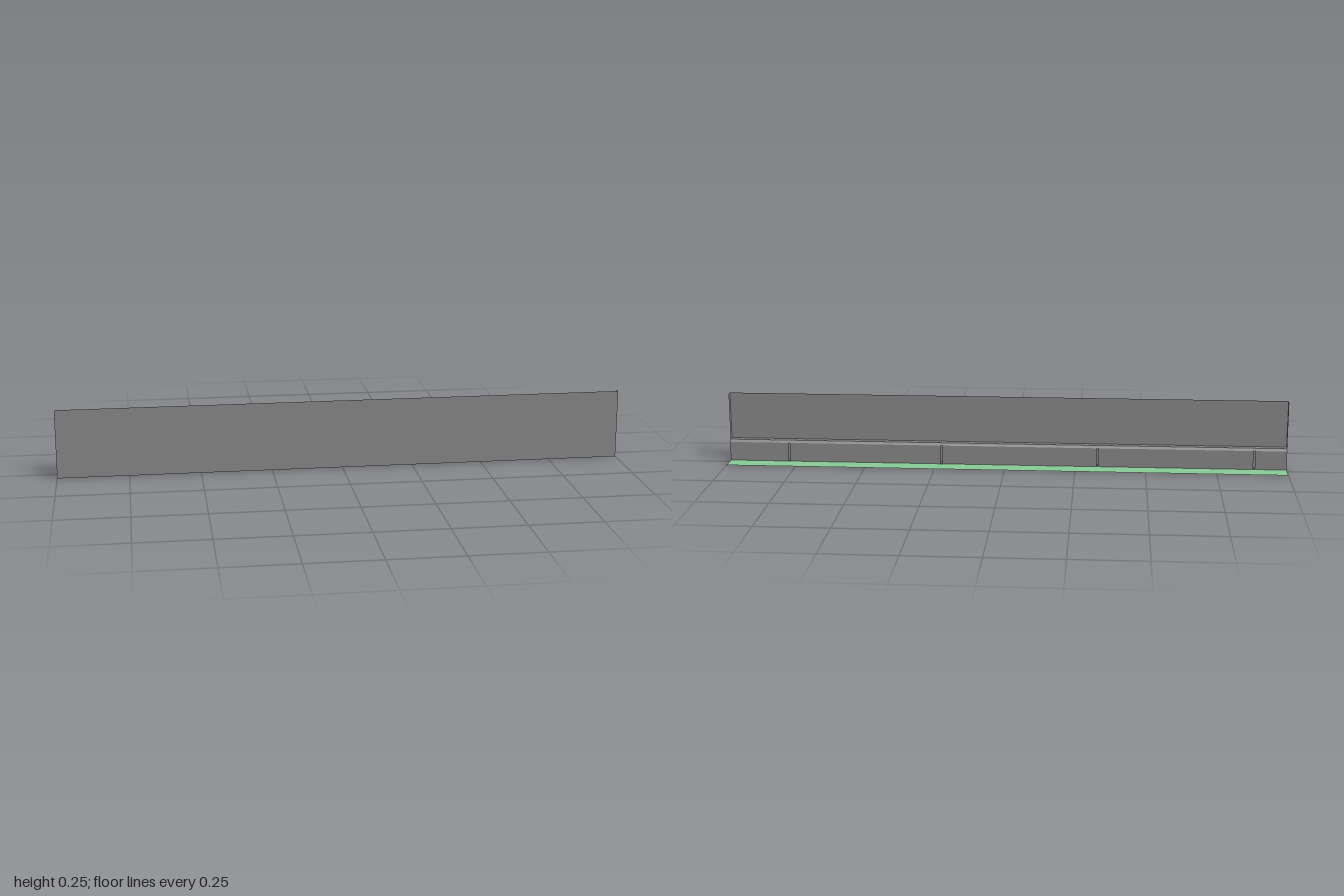
import * as THREE from 'three';

const FRONT = 0.048, INNER = 0.026, DUCT = 0.02, BACK = -0.048, HEIGHT = 0.245;

export function createModel() {
  const model = new THREE.Group();
  const steel = new THREE.MeshStandardMaterial({ color: 0x888888, side: THREE.DoubleSide, flatShading: true });
  const green = new THREE.MeshStandardMaterial({ color: 0x88cc96, side: THREE.DoubleSide, flatShading: true });

  // Thin sheet swept along x between two [z, y] profile points
  function sheet(name, x0, x1, [z0, y0], [z1, y1], material = steel) {
    const geometry = new THREE.BufferGeometry();
    geometry.setAttribute('position', new THREE.Float32BufferAttribute(
      [x0, y0, z0, x1, y0, z0, x1, y1, z1, x0, y1, z1], 3));
    geometry.setIndex([0, 1, 2, 0, 2, 3]);
    geometry.computeVertexNormals();
    const mesh = new THREE.Mesh(geometry, material);
    mesh.name = name;
    model.add(mesh);
  }

  // Front panel and its folded lower edge
  sheet('frontPanel', -1, 1, [FRONT, 0], [FRONT, HEIGHT]);
  sheet('bottomFlange', -1, 1, [FRONT, 0], [INNER, 0]);

  // Folded ends
  for (const side of [-1, 1]) {
    const flange = new THREE.Mesh(new THREE.PlaneGeometry(FRONT - INNER, HEIGHT), steel);
    flange.name = side > 0 ? 'leftEndFlange' : 'rightEndFlange';
    flange.rotation.y = side * Math.PI / 2;
    flange.position.set(side, HEIGHT / 2, (FRONT + INNER) / 2);
    model.add(flange);
  }

  // Stiffener behind the panel: ledge, chamfer and slotted back wall
  sheet('stiffenerLedge', -1, 1, [FRONT, 0.077], [INNER, 0.077]);
  sheet('stiffenerChamfer', -1, 1, [INNER, 0.077], [DUCT, 0.068]);
  const seams = [-0.885, -0.33, 0.23, 0.784], gap = 0.003;
  const edges = [-1, ...seams.flatMap(x => [x - gap, x + gap]), 1];
  for (let i = 0; i < edges.length; i += 2) {
    sheet('stiffenerWall' + (i / 2 + 1), edges[i], edges[i + 1], [DUCT, 0], [DUCT, 0.068]);
  }

  // Green base strip lying on the ground behind
  sheet('baseStrip', -1, 1, [DUCT, 0], [BACK, 0], green);

  return model;
}
